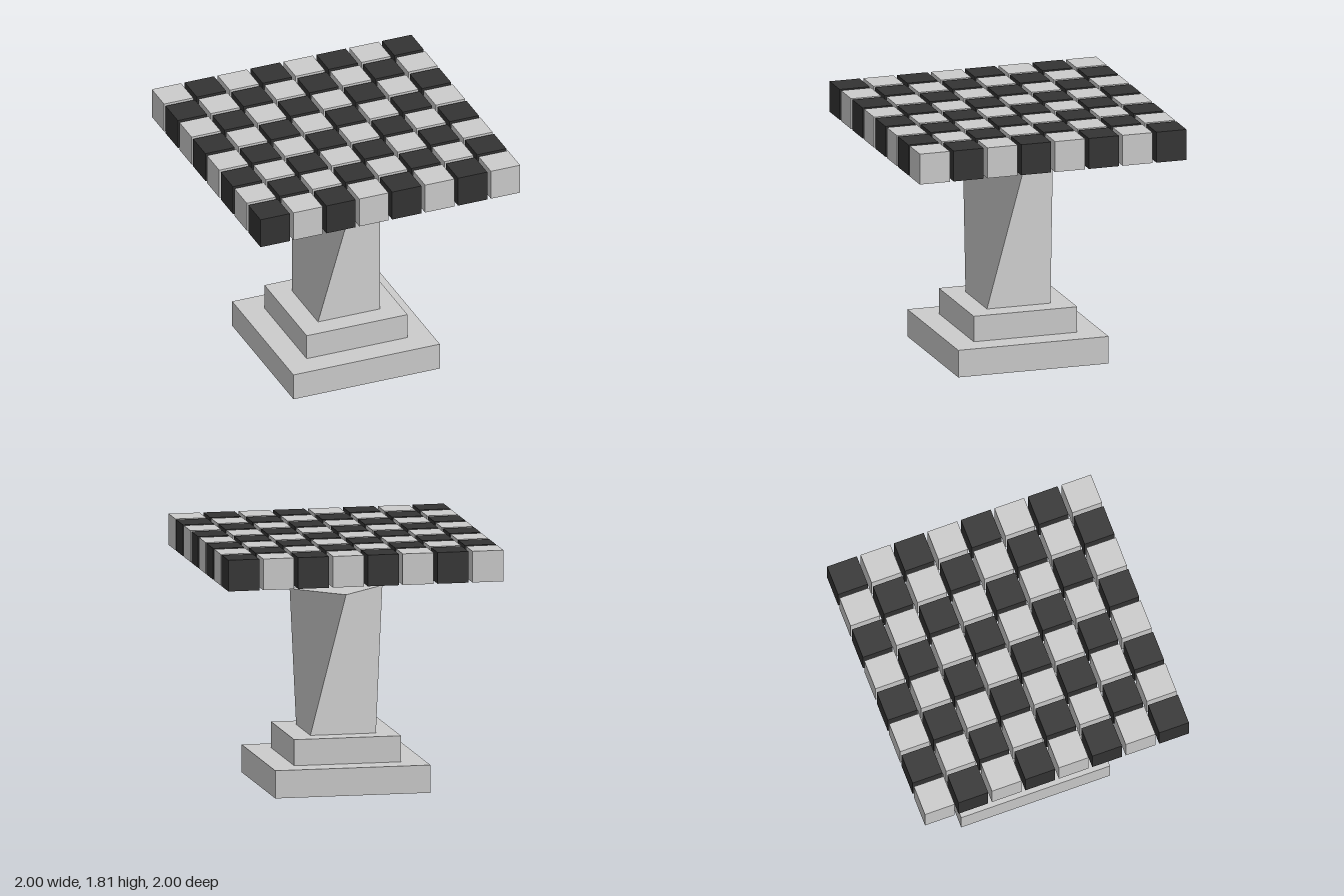
import * as THREE from 'three';

const light = new THREE.MeshStandardMaterial({ color: 0xcccccc });
const dark = new THREE.MeshStandardMaterial({ color: 0x333333 });

function addBox(parent, name, [w, h, d], [x, y, z], material) {
  const mesh = new THREE.Mesh(new THREE.BoxGeometry(w, h, d), material);
  mesh.name = name;
  mesh.position.set(x, y, z);
  parent.add(mesh);
}

// Square ring of corners at height y, turned by angle
function ring(radius, y, angle) {
  return Array.from({ length: 4 }, (_, i) => {
    const a = angle + (i * Math.PI) / 2;
    return new THREE.Vector3(Math.sin(a) * radius, y, Math.cos(a) * radius);
  });
}

// Square column whose top is turned an eighth of a turn against its foot
function twistedColumn(radius, y0, y1) {
  const foot = ring(radius, y0, -Math.PI / 4);
  const head = ring(radius, y1, 0);
  const positions = [], normals = [];
  const addQuad = (a, b, c, d) => {
    // one shared normal per four-sided face
    const n = c.clone().sub(a).cross(d.clone().sub(b)).normalize();
    for (const p of [a, b, c, a, c, d]) {
      positions.push(p.x, p.y, p.z);
      normals.push(n.x, n.y, n.z);
    }
  };
  for (let i = 0; i < 4; i++) {
    const j = (i + 1) % 4;
    addQuad(foot[i], foot[j], head[j], head[i]);
  }
  addQuad(...head);
  addQuad(...[...foot].reverse());
  const geometry = new THREE.BufferGeometry();
  geometry.setAttribute('position', new THREE.Float32BufferAttribute(positions, 3));
  geometry.setAttribute('normal', new THREE.Float32BufferAttribute(normals, 3));
  return geometry;
}

export function createModel() {
  const model = new THREE.Group();
  model.name = 'checkerTable';

  // Stepped base
  addBox(model, 'lowerStep', [1.128, 0.2, 1.128], [0, 0.1, 0], light);
  addBox(model, 'upperStep', [0.776, 0.188, 0.776], [0, 0.294, 0], light);

  // Column
  const column = new THREE.Mesh(twistedColumn(0.337, 0.388, 1.41), light);
  column.name = 'twistedColumn';
  model.add(column);

  // Floating board of separate blocks in alternating colours
  const board = new THREE.Group();
  board.name = 'board';
  const size = 0.225, pitch = (2 - size) / 7;
  for (let row = 0; row < 8; row++) {
    for (let col = 0; col < 8; col++) {
      const isDark = (row + col) % 2 === 1;
      addBox(board, isDark ? 'darkSquare' : 'lightSquare', [size, size, size],
        [(col - 3.5) * pitch, 1.694, (row - 3.5) * pitch], isDark ? dark : light);
    }
  }
  model.add(board);
  return model;
}
